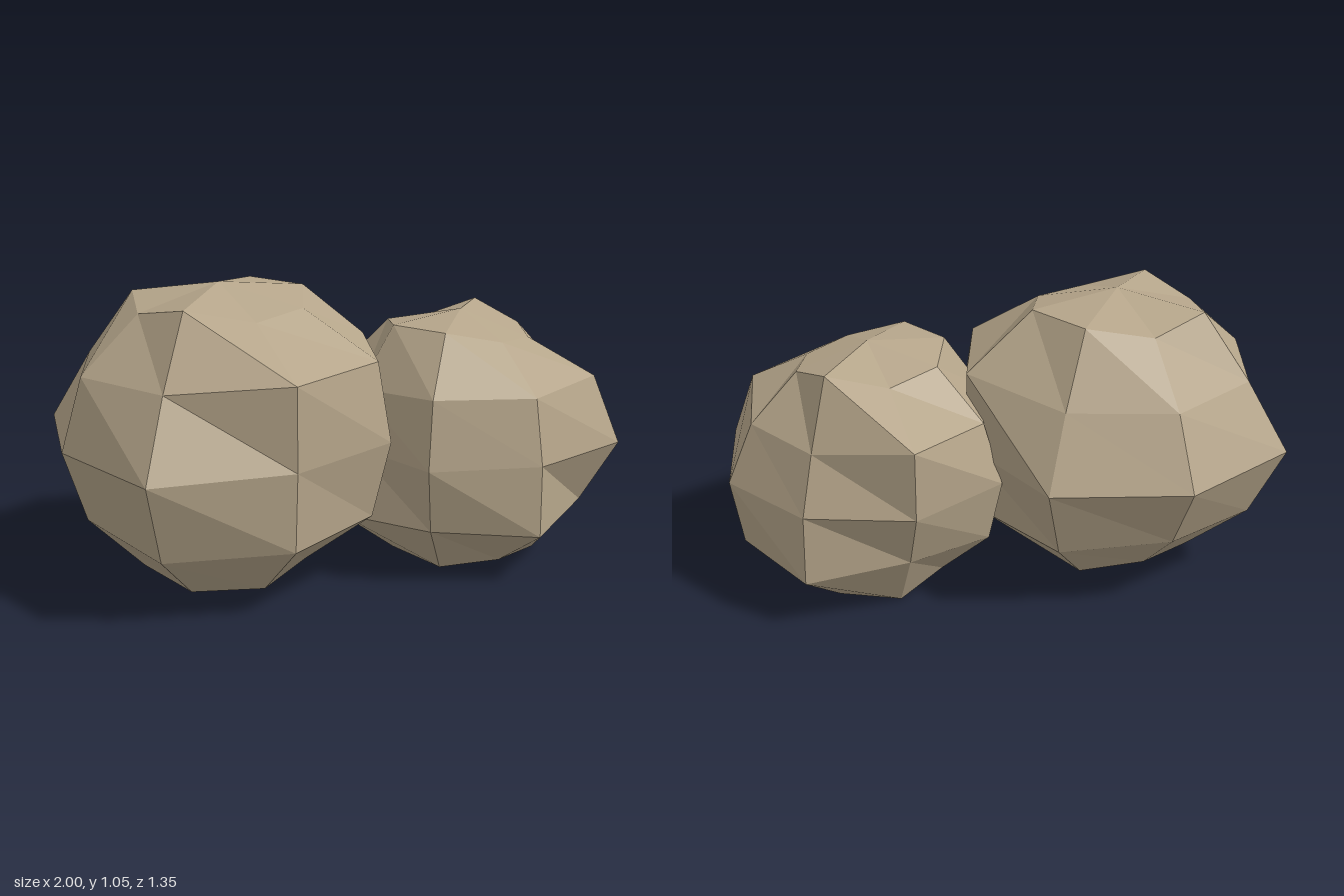
import * as THREE from 'three';

const SIDES = 8;
const RINGS = 6;
const SQUASH = 0.86;

// Low-poly sphere whose vertices are pushed in or out along their own direction.
// rings: radii of the five inner rings, top to bottom, starting at -x and turning towards +z.
function rockGeometry(top, rings, bottom) {
  const geometry = new THREE.SphereGeometry(1, SIDES, RINGS);
  const position = geometry.attributes.position;
  const p = new THREE.Vector3();
  for (let i = 0; i < position.count; i++) {
    const row = Math.floor(i / (SIDES + 1));
    const column = (i % (SIDES + 1)) % SIDES;
    const radius = row === 0 ? top : row === RINGS ? bottom : rings[row - 1][column];
    p.fromBufferAttribute(position, i).multiplyScalar(radius);
    position.setXYZ(i, p.x, p.y * SQUASH, p.z);
  }
  const flat = geometry.toNonIndexed();
  flat.computeVertexNormals();
  return flat;
}

export function createModel() {
  const group = new THREE.Group();
  group.name = 'rocks';

  const stone = new THREE.MeshStandardMaterial({ color: 0xb5a58a, flatShading: true });
  stone.name = 'sandy stone';

  function addRock(name, centre, top, rings, bottom) {
    const rock = new THREE.Mesh(rockGeometry(top, rings, bottom), stone);
    rock.name = name;
    rock.position.set(...centre);
    group.add(rock);
  }

  // Larger boulder
  addRock('largeRock', [-0.41, 0.52, -0.05], 0.617, [
    [0.60, 0.66, 0.59, 0.61, 0.66, 0.66, 0.60, 0.65],
    [0.59, 0.60, 0.67, 0.66, 0.67, 0.585, 0.575, 0.58],
    [0.59, 0.68, 0.58, 0.62, 0.58, 0.65, 0.63, 0.66],
    [0.59, 0.67, 0.65, 0.64, 0.62, 0.63, 0.58, 0.62],
    [0.62, 0.66, 0.66, 0.62, 0.62, 0.64, 0.60, 0.62],
  ], 0.58);

  // Smaller boulder, leaning against the first
  addRock('smallRock', [0.47, 0.44, 0.15], 0.54, [
    [0.58, 0.58, 0.52, 0.50, 0.52, 0.60, 0.52, 0.55],
    [0.50, 0.56, 0.54, 0.57, 0.50, 0.48, 0.595, 0.52],
    [0.45, 0.53, 0.515, 0.594, 0.53, 0.495, 0.51, 0.52],
    [0.58, 0.55, 0.60, 0.535, 0.57, 0.588, 0.49, 0.54],
    [0.56, 0.59, 0.57, 0.59, 0.50, 0.57, 0.59, 0.55],
  ], 0.49);

  return group;
}
